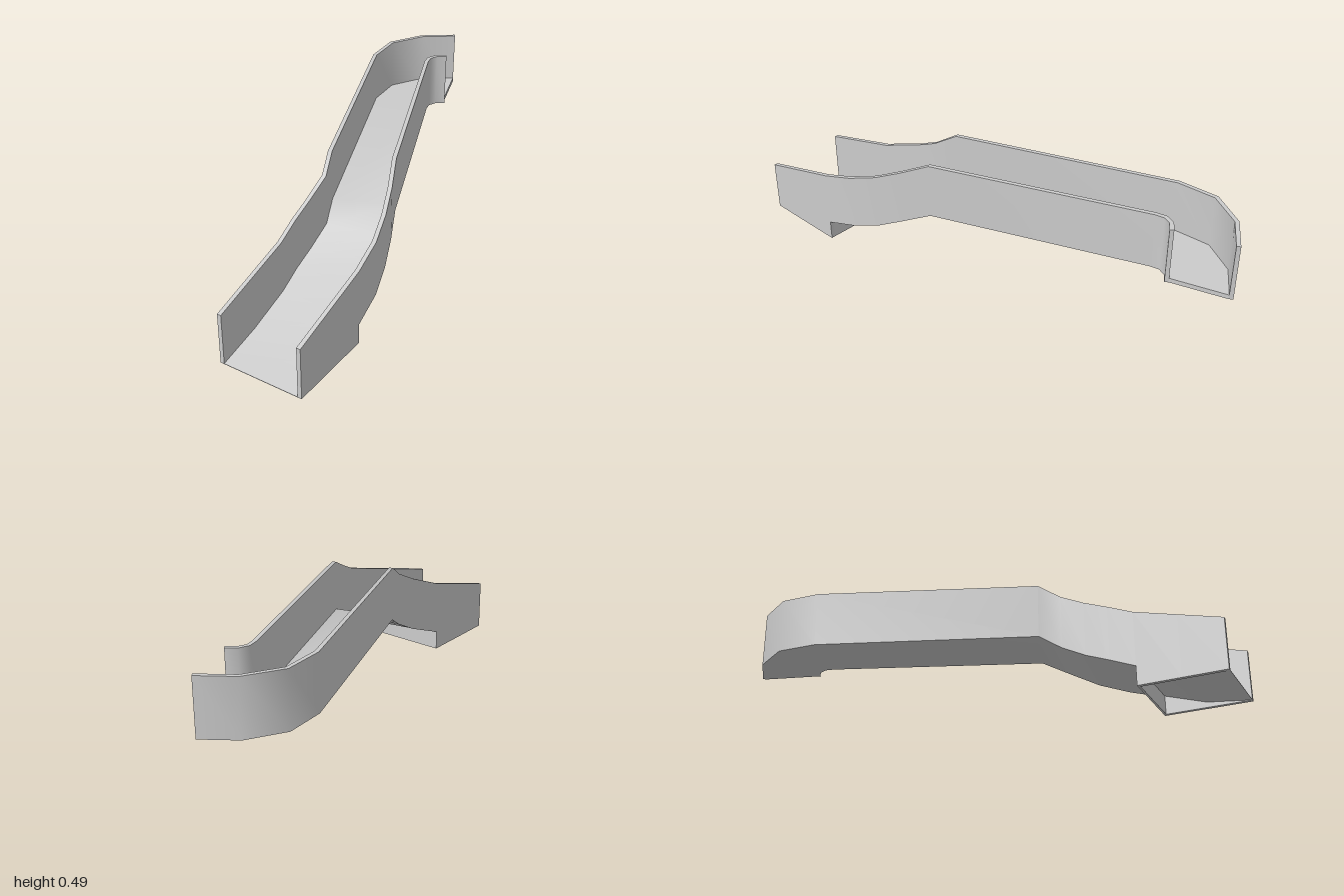
import * as THREE from 'three';
import { toCreasedNormals } from 'three/addons/utils/BufferGeometryUtils.js';

const WALL = 0.016, SLAB = 0.018;
const STEP = 2; // station where the raised foot ends

// Stations from the low front to the hooked back: left x, z, right x, z, floor y, rim y
const stations = [
  [-0.26, 0.88, 0.06, 1.0, 0.002, 0.207],
  [-0.20, 0.717, 0.12, 0.835, 0.04, 0.256],
  [-0.14, 0.555, 0.18, 0.67, 0.098, 0.305],
  [-0.113, 0.46, 0.212, 0.54, 0.138, 0.345],
  [-0.08, 0.37, 0.221, 0.42, 0.177, 0.384],
  [-0.046, 0.28, 0.221, 0.31, 0.228, 0.432],
  [-0.045, 0.19, 0.213, 0.19, 0.282, 0.487],
  [-0.06, -0.70, 0.187, -0.68, 0.282, 0.49],
  [-0.015, -0.855, 0.192, -0.715, 0.282, 0.49],
  [0.11, -0.96, 0.215, -0.74, 0.282, 0.49],
  [0.255, -1.0, 0.255, -0.752, 0.282, 0.49],
];

const material = new THREE.MeshStandardMaterial({ color: 0xcccccc, side: THREE.DoubleSide });

// Offsets a plan polyline sideways with mitred corners (side 1: to the right of travel)
function offset(points, distance) {
  const normal = (a, b) => {
    const d = b.clone().sub(a).normalize();
    return new THREE.Vector2(-d.y, d.x);
  };
  return points.map((p, i) => {
    const n0 = normal(points[Math.max(i - 1, 0)], points[Math.max(i, 1)]);
    const last = points.length - 1;
    const n1 = normal(points[Math.min(i, last - 1)], points[Math.min(i + 1, last)]);
    const m = n0.clone().add(n1).normalize();
    return p.clone().addScaledVector(m, distance / m.dot(n0));
  });
}

// Four-cornered cross-section: top left, top right, bottom right, bottom left
const ring = (l, r, top, bottom) => [
  [l.x, top, l.y], [r.x, top, r.y], [r.x, bottom, r.y], [l.x, bottom, l.y],
];

// Skins a row of cross-sections and closes both ends
function sweep(name, rings) {
  const pos = [];
  const quad = (a, b, c, d) => pos.push(...a, ...b, ...c, ...a, ...c, ...d);
  for (let i = 0; i < rings.length - 1; i++) {
    const a = rings[i], b = rings[i + 1];
    for (let k = 0; k < 4; k++) {
      const n = (k + 1) % 4;
      quad(a[k], a[n], b[n], b[k]);
    }
  }
  const first = rings[0], end = rings[rings.length - 1];
  quad(first[3], first[2], first[1], first[0]);
  quad(end[0], end[1], end[2], end[3]);
  const geometry = new THREE.BufferGeometry();
  geometry.setAttribute('position', new THREE.Float32BufferAttribute(pos, 3));
  const mesh = new THREE.Mesh(toCreasedNormals(geometry, 0.7), material);
  mesh.name = name;
  return mesh;
}

export function createModel() {
  const group = new THREE.Group();
  group.name = 'slide';

  const leftOuter = stations.map(s => new THREE.Vector2(s[0], s[1]));
  const rightOuter = stations.map(s => new THREE.Vector2(s[2], s[3]));
  const leftInner = offset(leftOuter, WALL);
  const rightInner = offset(rightOuter, -WALL);
  const floorY = stations.map(s => s[4]);
  const rimY = stations.map(s => s[5]);
  const underY = floorY.map(y => Math.max(0, y - SLAB));

  // Side walls: the foot part reaches the ground, the rest follows the floor
  const wall = (name, l, r) => {
    const rings = (from, to, bottom) => {
      const list = [];
      for (let i = from; i <= to; i++) list.push(ring(l[i], r[i], rimY[i], bottom(i)));
      return list;
    };
    group.add(sweep(name + 'FootWall', rings(0, STEP, () => 0)));
    group.add(sweep(name + 'Wall', rings(STEP, stations.length - 1, i => underY[i])));
  };
  wall('right', leftOuter, leftInner);
  wall('left', rightInner, rightOuter);

  // Sliding floor between the walls
  group.add(sweep('floor', stations.map((s, i) =>
    ring(leftInner[i], rightInner[i], floorY[i], underY[i]))));

  // Plate closing the back of the hollow foot
  const plate = [0.95, 1].map(t => ring(
    leftInner[STEP - 1].clone().lerp(leftInner[STEP], t),
    rightInner[STEP - 1].clone().lerp(rightInner[STEP], t),
    underY[STEP], 0));
  group.add(sweep('footBackPlate', plate));

  return group;
}
